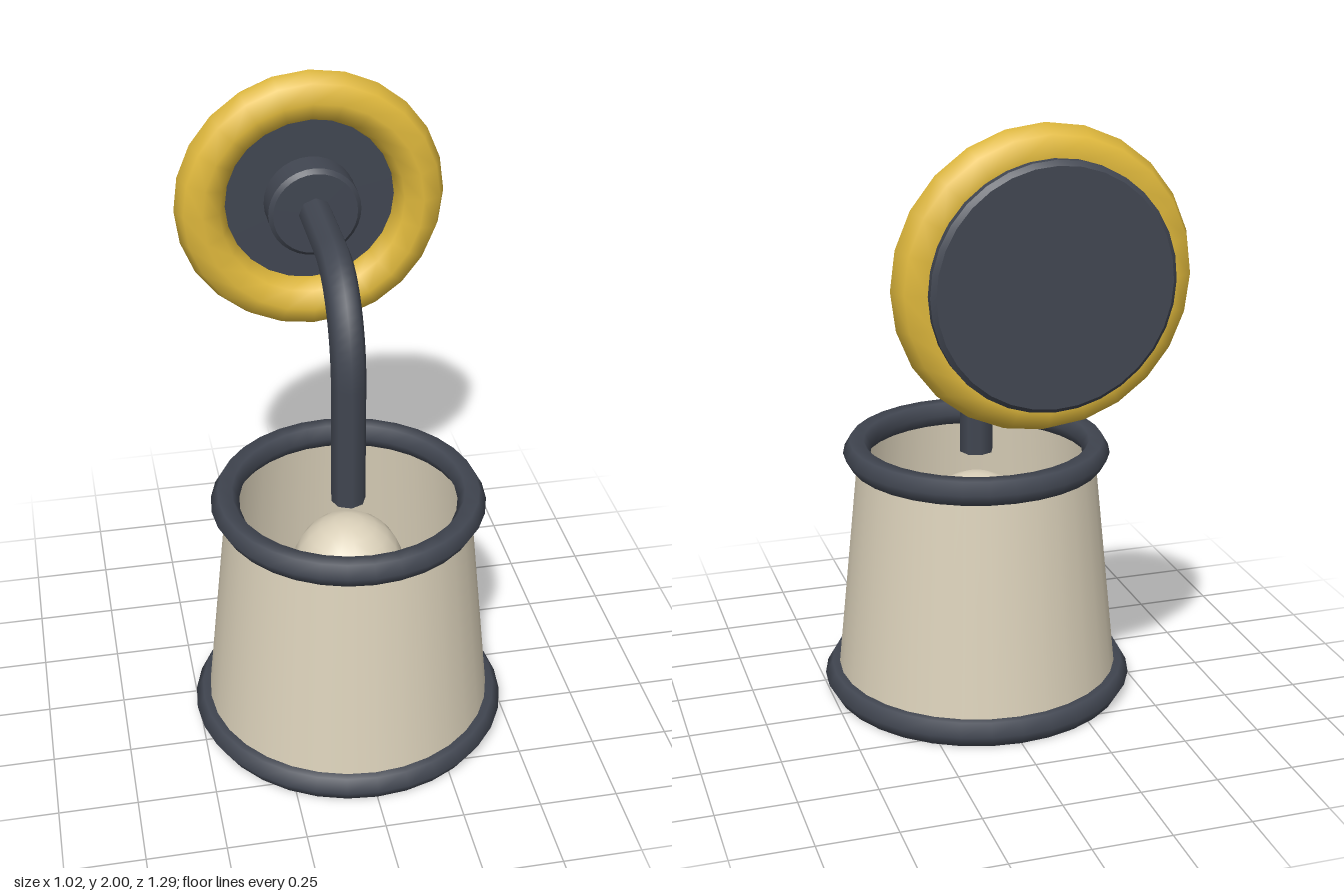
import * as THREE from 'three';
import { toCreasedNormals } from 'three/addons/utils/BufferGeometryUtils.js';

const AXIS_Z = 0.13;   // axis of shade, bulb and stem
const MOUNT_Y = 1.555; // height of the wall mount

export function createModel() {
  const group = new THREE.Group();
  const material = (name, color, side = THREE.FrontSide) => {
    const m = new THREE.MeshStandardMaterial({ color, side });
    m.name = name;
    return m;
  };
  const dark = material('darkMetal', 0x414651);
  const yellow = material('yellow', 0xdfb83c);
  const cream = material('cream', 0xdbd1ba, THREE.DoubleSide);

  const add = (name, geometry, mat, x, y, z) => {
    const mesh = new THREE.Mesh(geometry, mat);
    mesh.name = name;
    mesh.position.set(x, y, z);
    group.add(mesh);
    return mesh;
  };

  // Tapered open shade with a ring on each rim
  add('shade', new THREE.CylinderGeometry(0.387, 0.468, 0.785, 32, 1, true), cream, 0, 0.433, AXIS_Z);
  const rims = [['topRim', 0.39, 0.825, 0.045], ['bottomRim', 0.465, 0.041, 0.047]];
  for (const [name, radius, y, tube] of rims) {
    const geometry = new THREE.TorusGeometry(radius, tube, 6, 32);
    geometry.rotateX(Math.PI / 2);
    add(name, geometry, dark, 0, y, AXIS_Z);
  }

  // Bulb inside the shade
  add('bulb', new THREE.SphereGeometry(0.18, 16, 12), cream, 0, 0.56, AXIS_Z);

  // Stem: straight up, quarter bend, straight back to the mount
  const v = (y, z) => new THREE.Vector3(0, y, z);
  const k = 0.5523;
  const bendY = 1.235, bendZ = -0.135;
  const path = new THREE.CurvePath();
  path.add(new THREE.LineCurve3(v(0.82, AXIS_Z), v(bendY, AXIS_Z)));
  path.add(new THREE.CubicBezierCurve3(
    v(bendY, AXIS_Z), v(bendY + k * (MOUNT_Y - bendY), AXIS_Z),
    v(MOUNT_Y, bendZ + k * (AXIS_Z - bendZ)), v(MOUNT_Y, bendZ)));
  path.add(new THREE.LineCurve3(v(MOUNT_Y, bendZ), v(MOUNT_Y, -0.45)));
  add('stem', new THREE.TubeGeometry(path, 40, 0.055, 8, false), dark, 0, 0, 0);
  const cap = new THREE.CircleGeometry(0.055, 8);
  cap.rotateX(Math.PI / 2);
  add('stemEnd', cap, dark, 0, 0.82, AXIS_Z);

  // Bevelled discs of the mount, turned to face the front
  const disc = (radius, depth, bevel) => {
    const h = depth / 2;
    const profile = [
      [0, -h], [radius - bevel, -h], [radius, -h + bevel],
      [radius, h - bevel], [radius - bevel, h], [0, h],
    ].map(([x, y]) => new THREE.Vector2(x, y));
    const geometry = new THREE.LatheGeometry(profile, 32);
    geometry.rotateX(Math.PI / 2);
    return toCreasedNormals(geometry, 0.5);
  };
  add('backPlate', disc(0.36, 0.12, 0.014), dark, 0, MOUNT_Y, -0.585);
  add('hub', disc(0.152, 0.13, 0.014), dark, 0, MOUNT_Y, -0.482);

  // Padded ring around the mount
  add('mountRing', new THREE.TorusGeometry(0.362, 0.083, 8, 24), yellow, 0, MOUNT_Y, -0.525);

  return group;
}
